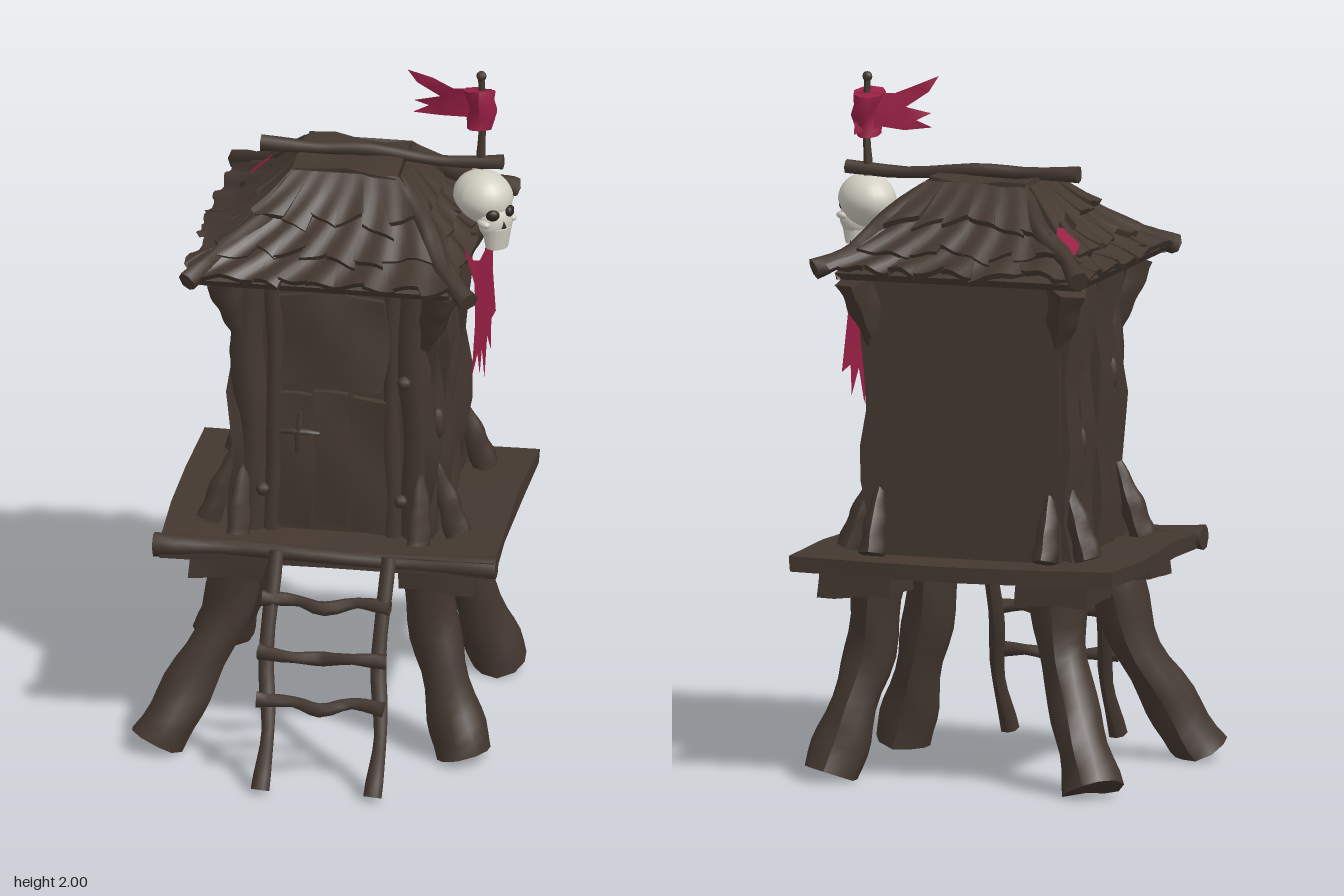
import * as THREE from 'three';

const mat = (name, color, side = THREE.FrontSide) => {
  const m = new THREE.MeshStandardMaterial({ color, side });
  m.name = name;
  return m;
};
const V = (x, y, z) => new THREE.Vector3(x, y, z);
const lerp = THREE.MathUtils.lerp;

export function createModel() {
  const wood = mat('dark wood', 0x443830);
  const cloth = mat('crimson cloth', 0x9a2046, THREE.DoubleSide);
  const bone = mat('bone', 0xd2cfc3);
  const hollow = mat('dark hollow', 0x2b221e);
  const root = new THREE.Group();
  root.name = 'stiltHut';

  let seed = 7;
  const rnd = (a = -1, b = 1) => {
    seed = (seed * 16807) % 2147483647;
    return a + (b - a) * (seed / 2147483647);
  };
  const add = (name, geo, m = wood, parent = root) => {
    const mesh = new THREE.Mesh(geo, m);
    mesh.name = name;
    parent.add(mesh);
    return mesh;
  };
  // Move every vertex of a geometry by a rule
  const deform = (geo, rule) => {
    const p = geo.attributes.position, v = V(0, 0, 0);
    for (let i = 0; i < p.count; i++) {
      v.fromBufferAttribute(p, i);
      rule(v);
      p.setXYZ(i, v.x, v.y, v.z);
    }
    geo.computeVertexNormals();
    return geo;
  };
  // Rough board, slightly wavy along its length
  const board = (name, x, y, z, w, h, d, wave = 0.006) => {
    const ph = rnd(0, 6);
    const geo = deform(new THREE.BoxGeometry(w, h, d, 4, 8, 3), v => {
      const a = v.x, b = v.y, c = v.z;
      v.x += wave * Math.sin(b * 17 + c * 9 + ph);
      v.y += wave * Math.sin(a * 23 + c * 15 + ph);
      v.z += wave * Math.sin(b * 13 + a * 19 + ph);
    });
    const m = add(name, geo);
    m.position.set(x, y, z);
    return m;
  };
  // Gnarled log along a path of points, with radii spread along it
  const log = (name, pts, radii, sides = 9) => {
    const path = pts.map(p => V(...p));
    const curve = new THREE.CatmullRomCurve3(path);
    const dir = path[path.length - 1].clone().sub(path[0]).normalize();
    const ref = Math.abs(dir.y) > 0.7 ? V(0, 0, 1) : V(0, 1, 0);
    const ph = rnd(0, 6);
    const geo = deform(new THREE.CylinderGeometry(1, 1, 1, sides, 12), v => {
      const t = THREE.MathUtils.clamp(v.y + 0.5, 0, 1);
      const f = t * (radii.length - 1), i = Math.min(Math.floor(f), radii.length - 2);
      const r = lerp(radii[i], radii[i + 1], f - i) * (1 + 0.08 * Math.sin(t * 14 + v.x * 3 + ph));
      const T = curve.getTangent(t);
      const A = ref.clone().cross(T).normalize(), B = A.clone().cross(T);
      v.copy(curve.getPoint(t).addScaledVector(A, v.x * r).addScaledVector(B, v.z * r));
      v.y = Math.max(0, v.y);
    });
    return add(name, geo);
  };

  // Crooked legs with caps: top x, top z, knee x, knee z, foot x, foot z
  for (const [tx, tz, kx, kz, fx, fz] of [
    [-0.23, 0.165, -0.28, 0.175, -0.45, 0.285], [0.31, 0.165, 0.335, 0.17, 0.425, 0.225],
    [-0.23, -0.355, -0.255, -0.365, -0.39, -0.51], [0.31, -0.355, 0.335, -0.35, 0.425, -0.43]]) {
    log('leg', [[fx, 0.015, fz], [lerp(fx, kx, 0.45), 0.17, lerp(fz, kz, 0.45)], [kx, 0.36, kz], [tx, 0.57, tz]],
      [0.085, 0.076, 0.068, 0.072, 0.08], 10);
    board('legCap', tx + (tx < 0 ? -0.025 : 0.035), 0.575, tz + (tz < 0 ? -0.02 : 0.01), 0.215, 0.08, 0.2, 0.006);
  }

  // Platform
  board('platform', 0.035, 0.63, -0.105, 0.97, 0.045, 0.82, 0.008);
  log('platformFrontBeam', [[-0.46, 0.635, 0.285], [-0.2, 0.642, 0.292], [0.2, 0.63, 0.292], [0.53, 0.63, 0.285]], [0.036, 0.024, 0.022, 0.024, 0.034]);

  // Ladder
  for (const x of [-0.11, 0.215]) {
    log('ladderRail', [[x, 0.01, 0.56], [x + 0.012, 0.17, 0.49], [x - 0.005, 0.38, 0.412], [x + 0.01, 0.655, 0.32]],
      [0.026, 0.02, 0.024, 0.02], 7);
  }
  for (const [y, z, bend] of [[0.52, 0.375, 0.012], [0.38, 0.435, -0.014], [0.25, 0.48, 0.012]]) {
    log('ladderRung', [[-0.135, y + 0.006, z], [-0.03, y, z - bend], [0.05, y - 0.01, z + bend], [0.14, y + 0.006, z - bend], [0.235, y, z]],
      [0.024, 0.016, 0.022, 0.016, 0.024], 7);
  }

  // Cabin walls: solid core, plain back, planked sides and front
  add('cabinCore', new THREE.BoxGeometry(0.57, 0.86, 0.55)).position.set(0.035, 1.08, -0.125);
  for (const s of [-1, 1]) {
    for (let i = 0; i < 4; i++) {
      board('sidePlank', 0.035 + s * (0.278 + (i % 2) * 0.012), 1.08, 0.095 - i * 0.139,
        0.036, 0.84, 0.136 + rnd() * 0.006, 0.013);
    }
    const px = 0.035 + s * 0.24;
    log('frontPost', [[px, 0.65, 0.125], [px + 0.01, 0.9, 0.13], [px - 0.008, 1.2, 0.125], [px, 1.5, 0.125]], [0.058, 0.05, 0.055, 0.05]);
    log('doorPost', [[0.035 + s * 0.175, 0.65, 0.145], [0.035 + s * 0.168, 1.1, 0.145], [0.035 + s * 0.175, 1.48, 0.14]], [0.03, 0.024, 0.028]);
  }
  for (let i = 0; i < 3; i++) {
    board('doorPlank', -0.07 + i * 0.105, 0.87 + (i % 2) * 0.01, 0.155, 0.098, 0.41, 0.035, 0.006);
    board('lintelPlank', -0.07 + i * 0.105, 1.44, 0.145, 0.1, 0.12, 0.03, 0.005);
  }
  log('doorHandleBar', [[-0.115, 0.965, 0.18], [-0.06, 0.97, 0.185], [0.0, 0.965, 0.18]], [0.006, 0.011, 0.006], 6);
  log('doorHandleUpright', [[-0.065, 0.9, 0.18], [-0.06, 0.97, 0.185], [-0.055, 1.03, 0.18]], [0.006, 0.011, 0.006], 6);

  // Warped hatch slab above the door
  const hatch = board('hatch', 0.042, 1.26, 0.17, 0.3, 0.275, 0.04, 0.011);
  hatch.rotation.set(-0.06, 0, -0.02);

  // Nail heads and knots
  for (const [x, y, z] of [[0.245, 1.14, 0.181], [0.235, 0.77, 0.181], [-0.165, 0.78, 0.177],
    [-0.265, 1.14, 0.03], [0.335, 1.0, 0.13], [-0.265, 0.98, -0.25]]) {
    const knot = add('knot', new THREE.SphereGeometry(0.02, 8, 6));
    knot.position.set(x, y, z);
    if (z < 0.17) knot.scale.set(1, 2.4, 1.3);
  }

  // Corner braces under the eaves and stakes at the foot of each corner
  for (const sx of [-1, 1]) for (const sz of [-1, 1]) {
    const x = 0.035 + sx * 0.27, z = -0.11 + sz * 0.255;
    log('eaveBrace', [[x, 1.24, z], [x + sx * 0.022, 1.34, z + sz * 0.022], [x + sx * 0.05, 1.45, z + sz * 0.055]], [0.022, 0.046, 0.06], 5);
    log('sideStake', [[x + sx * 0.09, 0.66, z - sz * 0.01], [x + sx * 0.058, 0.76, z - sz * 0.02], [x + sx * 0.02, 0.87, z - sz * 0.025]], [0.04, 0.034, 0.013], 6);
    log('endStake', [[x - sx * 0.01, 0.66, z + sz * 0.09], [x - sx * 0.01, 0.75, z + sz * 0.058], [x - sx * 0.015, 0.85, z + sz * 0.02]], [0.038, 0.033, 0.013], 6);
  }

  // Roof surface: side normal (nx, nz), u across, t from ridge (0) to eave (1)
  const roofPoint = (nx, nz, u, t, lift) => V(
    lerp(0.05, 0.025, t) + lerp(0.15, 0.375, t) * (nx + u * nz) + nx * lift * 0.6,
    1.7 - 0.345 * t + 0.11 * t * t + lift,
    lerp(-0.11, -0.095, t) + lerp(0.12, 0.4, t) * (nz - u * nx) + nz * lift * 0.6);
  const slab = (name, nx, nz, u0, u1, t0, t1, low, high, thick, skew = 0, wave = 0) =>
    add(name, deform(new THREE.BoxGeometry(1, 1, 1, 5, 3, 1), v => {
      const k = 0.5 - v.y, u = lerp(u0, u1, v.x + 0.5);
      const t = lerp(t0, t1 + skew * v.x, k);
      v.copy(roofPoint(nx, nz, u, t, lerp(high, low, k) + v.z * thick + wave * t * Math.sin(u * 17 + t * 9 + nx)));
    }));
  for (const [nx, nz] of [[0, 1], [1, 0], [0, -1], [-1, 0]]) {
    slab('roofDeck', nx, nz, -1, 1, 0, 0.97, -0.005, -0.005, 0.02);
    [[0.62, 1.0, 9], [0.3, 0.72, 8], [0, 0.42, 6]].forEach(([t0, t1, n]) => {
      for (let i = 0; i < n; i++) {
        const a = -1 + (2 * i) / n, b = a + 2 / n;
        slab('roofShingle', nx, nz, a - 0.01, b + 0.01, t0, t1 + rnd(-0.08, 0.03),
          0.014 + rnd(0, 0.014), 0.004, 0.016, rnd(-0.12, 0.12), 0.009);
      }
    });
  }
  // Hip logs, ridge cap and ridge pole
  for (const [x0, z0, x1, z1, y1] of [[-0.09, -0.22, -0.35, -0.525, 1.49], [0.2, -0.22, 0.46, -0.48, 1.48],
    [-0.09, 0, -0.36, 0.32, 1.475], [0.2, 0, 0.455, 0.32, 1.47]]) {
    log('hipLog', [[x0, 1.69, z0], [lerp(x0, x1, 0.35) + 0.014, lerp(1.69, y1, 0.44), lerp(z0, z1, 0.35)],
      [lerp(x0, x1, 0.7) - 0.014, lerp(1.69, y1, 0.79), lerp(z0, z1, 0.7)], [x1, y1, z1]], [0.024, 0.032, 0.024, 0.03], 7);
  }
  const cap = board('ridgeCap', 0.052, 1.7, -0.11, 0.3, 0.03, 0.24, 0.008);
  cap.rotation.y = -0.08;
  log('ridgePole', [[-0.215, 1.732, -0.115], [-0.05, 1.728, -0.11], [0.1, 1.732, -0.118], [0.3, 1.713, -0.11], [0.485, 1.722, -0.11]],
    [0.025, 0.017, 0.02, 0.016, 0.022], 8);

  // Flag pole with a knob
  log('flagPole', [[0.42, 1.7, -0.11], [0.425, 1.85, -0.112], [0.422, 1.985, -0.112]], [0.014, 0.011, 0.009], 7);
  add('poleKnob', new THREE.SphereGeometry(0.015, 8, 6)).position.set(0.422, 1.985, -0.112);

  const shapeOf = pts => new THREE.ShapeGeometry(new THREE.Shape(pts.map(p => new THREE.Vector2(...p))));
  // Flag: cloth gathered round the pole with two ragged tails
  add('flagWrap', deform(new THREE.CylinderGeometry(0.046, 0.036, 0.12, 9, 4), v => {
    const k = 1 + 0.18 * Math.sin(v.y * 60 + v.x * 50);
    v.set(0.422 + v.x * k, 1.88 + v.y + v.z * 0.25, -0.112 + v.z * k);
  }), cloth);
  const flag = shapeOf([[0.45, 1.94], [0.34, 1.94], [0.28, 1.965], [0.21, 1.995], [0.235, 1.95], [0.3, 1.905],
    [0.225, 1.89], [0.265, 1.87], [0.22, 1.85], [0.3, 1.84], [0.37, 1.845], [0.45, 1.82]]);
  add('flagTails', deform(flag, v => { v.z = -0.128 + (v.y - 1.9) * 0.2 + 0.008 * Math.sin(v.x * 40); }), cloth);

  // Ragged banner hung on the side wall, its top leaning back on the roof
  const banner = add('banner', deform(shapeOf([[-0.117, 1.545], [-0.05, 1.48], [0.03, 1.445], [0.12, 1.435], [0.21, 1.465], [0.305, 1.545],
    [0.285, 1.42], [0.265, 1.32], [0.32, 1.16], [0.24, 1.17], [0.23, 1.08], [0.165, 1.15], [0.115, 1.04],
    [0.07, 1.15], [0.03, 1.09], [-0.01, 1.17], [-0.117, 1.14], [-0.05, 1.29], [-0.06, 1.41]]),
  v => { v.z = -0.25 * Math.max(0, v.y - 1.46); }), cloth);
  banner.rotation.y = Math.PI / 2;
  banner.position.x = 0.43;
  // Cloth scrap caught in the roof beside the hip log
  const scrap = add('roofScrap', shapeOf([[-0.035, -0.05], [0.015, -0.06], [0.04, -0.02], [0.03, 0.04], [-0.005, 0.055], [-0.03, 0.02]]), cloth);
  scrap.position.set(-0.247, 1.575, -0.315);
  scrap.lookAt(-1.1, 2.5, -0.45);

  // Skull hanging from the ridge pole, turned to the front corner
  const skull = new THREE.Group();
  skull.name = 'skull';
  skull.position.set(0.443, 1.613, -0.07);
  skull.rotation.y = 0.8;
  root.add(skull);
  add('cranium', deform(new THREE.SphereGeometry(1, 20, 16), v => {
    const low = Math.max(0, -v.y), face = Math.max(0, v.z);
    v.set(v.x * 0.08 * (1 - 0.22 * low), 0.01 + v.y * 0.078, -0.012 + v.z * (0.102 - 0.014 * face));
  }), bone, skull);
  add('faceBone', deform(new THREE.SphereGeometry(1, 16, 12), v => {
    v.set(v.x * 0.055, -0.045 + v.y * 0.055, 0.045 + v.z * 0.04);
  }), bone, skull);
  add('jaw', deform(new THREE.CylinderGeometry(0.046, 0.034, 0.065, 12, 2), v => {
    v.set(v.x, v.y - 0.09, 0.05 + v.z * 0.85);
  }), bone, skull);
  for (const s of [-1, 1]) {
    const eye = add('eyeSocket', new THREE.SphereGeometry(0.02, 10, 8), hollow, skull);
    eye.position.set(s * 0.03, -0.012, 0.071);
    eye.scale.set(1, 0.85, 0.6);
    eye.rotation.y = s * 0.5;
    const cheek = add('cheekbone', new THREE.SphereGeometry(0.02, 10, 8), bone, skull);
    cheek.position.set(s * 0.047, -0.04, 0.05);
    cheek.scale.set(0.7, 0.6, 1.3);
  }
  const nose = add('noseHole', new THREE.ConeGeometry(0.009, 0.022, 6), hollow, skull);
  nose.position.set(0, -0.043, 0.084);
  nose.scale.z = 0.5;

  return root;
}
